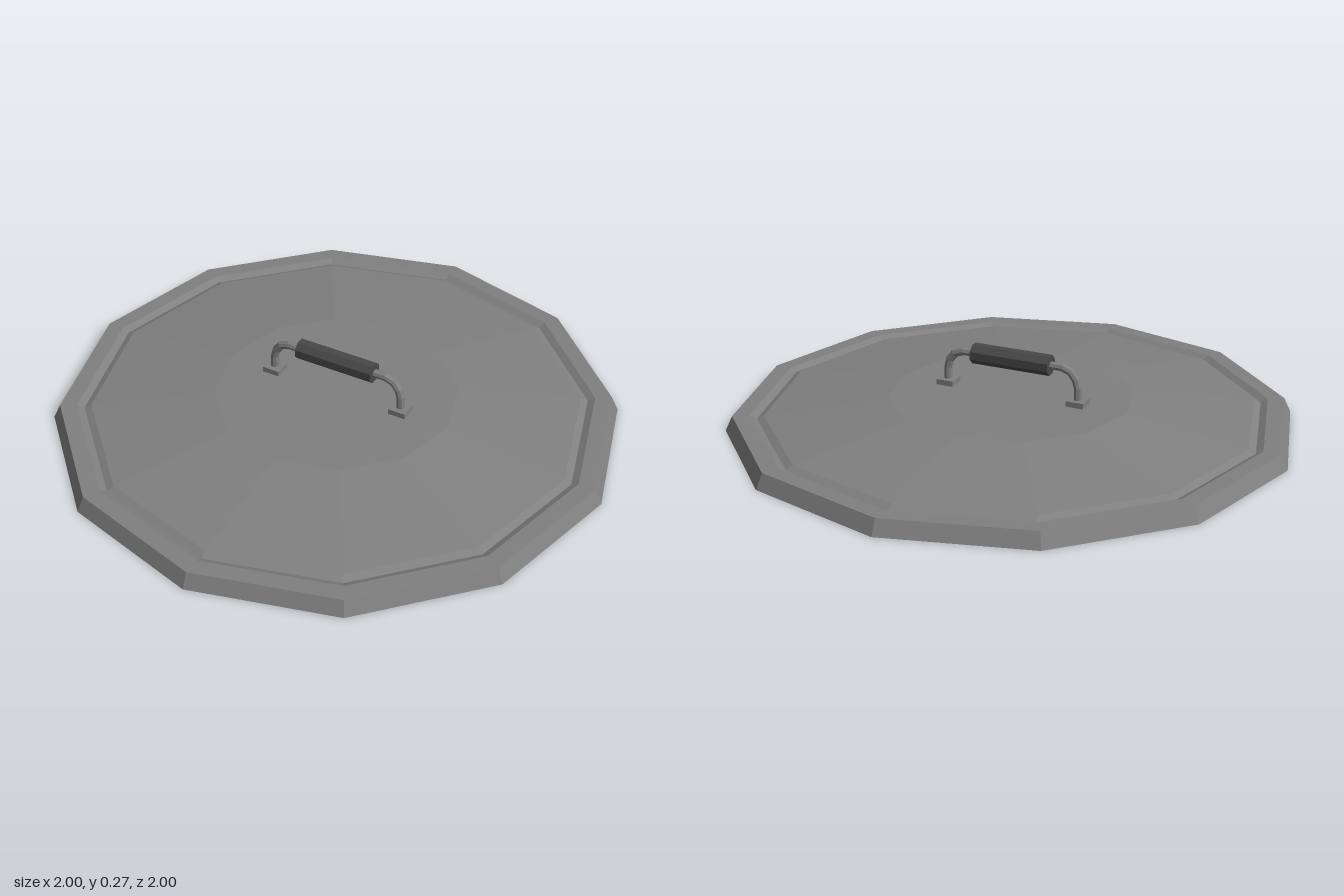
import * as THREE from 'three';

const steel = new THREE.MeshStandardMaterial({ color: 0x808080 });
steel.name = 'steel grey';
const rubber = new THREE.MeshStandardMaterial({ color: 0x484848 });
rubber.name = 'dark grip';

// Faceted mesh: split the faces so that each has its own normal
function part(name, geometry, material) {
  const flat = geometry.toNonIndexed();
  flat.computeVertexNormals();
  const mesh = new THREE.Mesh(flat, material);
  mesh.name = name;
  return mesh;
}

export function createModel() {
  const model = new THREE.Group();
  model.name = 'lid';

  // Twelve-sided lid: underside, rim, shallow groove, sloping dome, flat centre
  const profile = [
    [0, 0], [1, 0], [0.975, 0.053], [0.915, 0.053], [0.89, 0.04],
    [0.865, 0.052], [0.43, 0.104], [0, 0.104],
  ].map(([r, y]) => new THREE.Vector2(r, y));
  model.add(part('lidBody', new THREE.LatheGeometry(profile, 12), steel));

  const handle = new THREE.Group();
  handle.name = 'handle';
  model.add(handle);

  // Bent rod, mirrored about the centre, with one ring at each point
  const half = [[0.25, 0.11], [0.25, 0.165], [0.242, 0.195], [0.222, 0.221], [0.19, 0.233], [0.13, 0.233]];
  const points = [
    ...half.map(([x, y]) => new THREE.Vector3(-x, y, 0)),
    ...half.slice().reverse().map(([x, y]) => new THREE.Vector3(x, y, 0)),
  ];
  const path = new THREE.CatmullRomCurve3(points);
  path.getPointAt = path.getPoint;
  path.getTangentAt = path.getTangent;
  handle.add(part('handleRod', new THREE.TubeGeometry(path, points.length - 1, 0.015, 8), steel));

  // Octagonal grip along x
  const grip = part('grip', new THREE.CylinderGeometry(0.037, 0.037, 0.295, 8, 1, false, Math.PI / 8), rubber);
  grip.rotation.z = Math.PI / 2;
  grip.position.y = 0.233;
  handle.add(grip);

  // Square feet
  for (const [side, name] of [[1, 'leftFoot'], [-1, 'rightFoot']]) {
    const foot = part(name, new THREE.BoxGeometry(0.064, 0.024, 0.064), steel);
    foot.position.set(side * 0.25, 0.112, 0);
    handle.add(foot);
  }

  return model;
}
